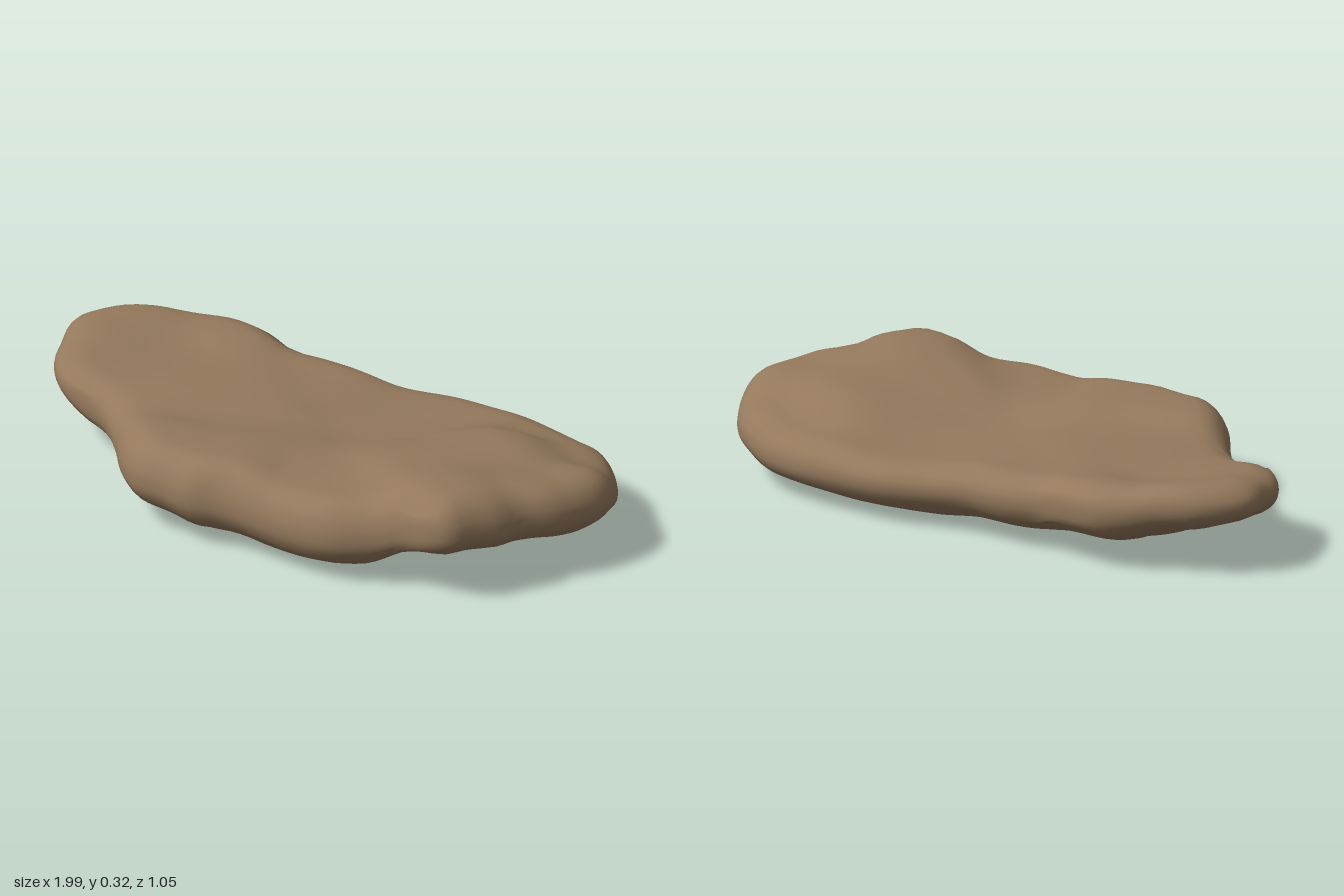
import * as THREE from 'three';
import { mergeVertices } from 'three/addons/utils/BufferGeometryUtils.js';

// Plan outline of the slab (x, z), clockwise from above
const OUTLINE = [
  [-1, -0.25], [-0.91, -0.39], [-0.77, -0.46], [-0.62, -0.52], [-0.49, -0.51], [-0.37, -0.48],
  [-0.25, -0.49], [-0.02, -0.48], [0.2, -0.525], [0.36, -0.52], [0.52, -0.5], [0.67, -0.46],
  [0.79, -0.4], [0.87, -0.33], [0.96, -0.2], [0.995, -0.07], [0.95, 0.1], [0.88, 0.2],
  [0.86, 0.28], [0.81, 0.36], [0.77, 0.43], [0.7, 0.45], [0.6, 0.44], [0.53, 0.455],
  [0.38, 0.515], [0.22, 0.515], [0.14, 0.505], [-0.02, 0.5], [-0.11, 0.52], [-0.21, 0.505],
  [-0.32, 0.49], [-0.42, 0.41], [-0.5, 0.31], [-0.6, 0.2], [-0.68, 0.14], [-0.83, 0.09],
  [-0.93, -0.02], [-0.965, -0.11],
];

// Height samples: x, z, then top, rim and bottom heights
const HEIGHTS = [
  // narrow raised end
  [-0.95, -0.25, 0.265, 0.2, 0.14], [-0.85, -0.38, 0.27, 0.2, 0.12], [-0.85, 0, 0.24, 0.18, 0.11],
  [-0.6, -0.45, 0.25, 0.17, 0.07], [-0.6, -0.2, 0.22, 0.14, 0.045], [-0.62, 0.1, 0.22, 0.14, 0.05],
  // shallow dish in the middle
  [-0.3, 0, 0.23, 0.13, 0.03], [-0.2, -0.42, 0.215, 0.14, 0.04], [0.15, -0.1, 0.2, 0.11, 0],
  [0.2, -0.3, 0.19, 0.11, 0.01], [0.2, -0.45, 0.185, 0.12, 0.03],
  // front lip
  [-0.33, 0.4, 0.265, 0.15, 0.05], [0, 0.42, 0.27, 0.14, 0.03], [0.2, 0.3, 0.245, 0.12, 0],
  [0.2, 0.45, 0.24, 0.13, 0.02], [0.4, 0.47, 0.25, 0.13, 0.03],
  // broad end with its ridge and mound
  [0.42, 0.1, 0.28, 0.14, 0.03], [0.58, -0.12, 0.28, 0.14, 0.05], [0.65, 0.28, 0.325, 0.18, 0.11],
  [0.76, 0.36, 0.315, 0.21, 0.13], [0.6, -0.44, 0.19, 0.11, 0.03], [0.85, -0.3, 0.21, 0.13, 0.06],
  [0.92, -0.05, 0.27, 0.18, 0.09], [0.88, 0.18, 0.29, 0.19, 0.11],
];

// Smooth blend of the height samples at a point
function heightsAt(x, z) {
  const blend = [0, 0, 0];
  let sum = 0;
  for (const [px, pz, ...heights] of HEIGHTS) {
    const w = 1 / ((x - px) ** 2 + (z - pz) ** 2 + 0.012) ** 2;
    sum += w;
    heights.forEach((h, i) => { blend[i] += w * h; });
  }
  return blend.map((h) => h / sum);
}

// Quarter-round rise from 0 at the edge to 1 at the given distance
function roundEdge(distance, radius) {
  const t = Math.max(0, 1 - distance / radius);
  return Math.sqrt(1 - t * t);
}

function slabGeometry() {
  const segments = 144;
  const curve = new THREE.CatmullRomCurve3(OUTLINE.map(([x, z]) => new THREE.Vector3(x, 0, z)), true);
  const rim = curve.getSpacedPoints(segments).slice(0, segments);
  const cx = 0.03, cz = -0.03;

  // Rings run from the top centre, round the rim, to the bottom centre
  const scales = [0, 0.15, 0.3, 0.44, 0.56, 0.66, 0.74, 0.8, 0.85, 0.89, 0.925, 0.955, 0.975, 0.99, 0.997];
  const rings = [
    ...scales.map((s) => [s, 'top']),
    [1, 'rim'],
    ...scales.map((s) => [s, 'bottom']).reverse(),
  ];

  const positions = [], indices = [];
  for (const [s, side] of rings) {
    for (const p of rim) {
      const x = cx + (p.x - cx) * s, z = cz + (p.z - cz) * s;
      const edge = Math.min(...rim.map((q) => Math.hypot(q.x - x, q.z - z)));
      const [top, middle, bottom] = heightsAt(x, z);
      let y = middle;
      if (side === 'top') y += (top - middle) * roundEdge(edge, 0.1);
      if (side === 'bottom') y += (bottom - middle) * roundEdge(edge, 0.13);
      positions.push(x, y, z);
    }
  }
  for (let k = 0; k < rings.length - 1; k++) {
    for (let i = 0; i < segments; i++) {
      const j = (i + 1) % segments;
      const a = k * segments + i, b = k * segments + j;
      const c = a + segments, d = b + segments;
      if (k === 0) indices.push(a, d, c);
      else if (k === rings.length - 2) indices.push(a, b, c);
      else indices.push(a, b, d, a, d, c);
    }
  }

  let geometry = new THREE.BufferGeometry();
  geometry.setAttribute('position', new THREE.Float32BufferAttribute(positions, 3));
  geometry.setIndex(indices);
  geometry = mergeVertices(geometry, 1e-5);
  geometry.computeBoundingBox();
  geometry.translate(0, -geometry.boundingBox.min.y, 0);
  geometry.computeVertexNormals();
  return geometry;
}

export function createModel() {
  const stone = new THREE.MeshStandardMaterial({ color: 0x94795c });
  stone.name = 'brown stone';

  const slab = new THREE.Mesh(slabGeometry(), stone);
  slab.name = 'rockSlab';

  const group = new THREE.Group();
  group.name = 'flatRock';
  group.add(slab);
  return group;
}
